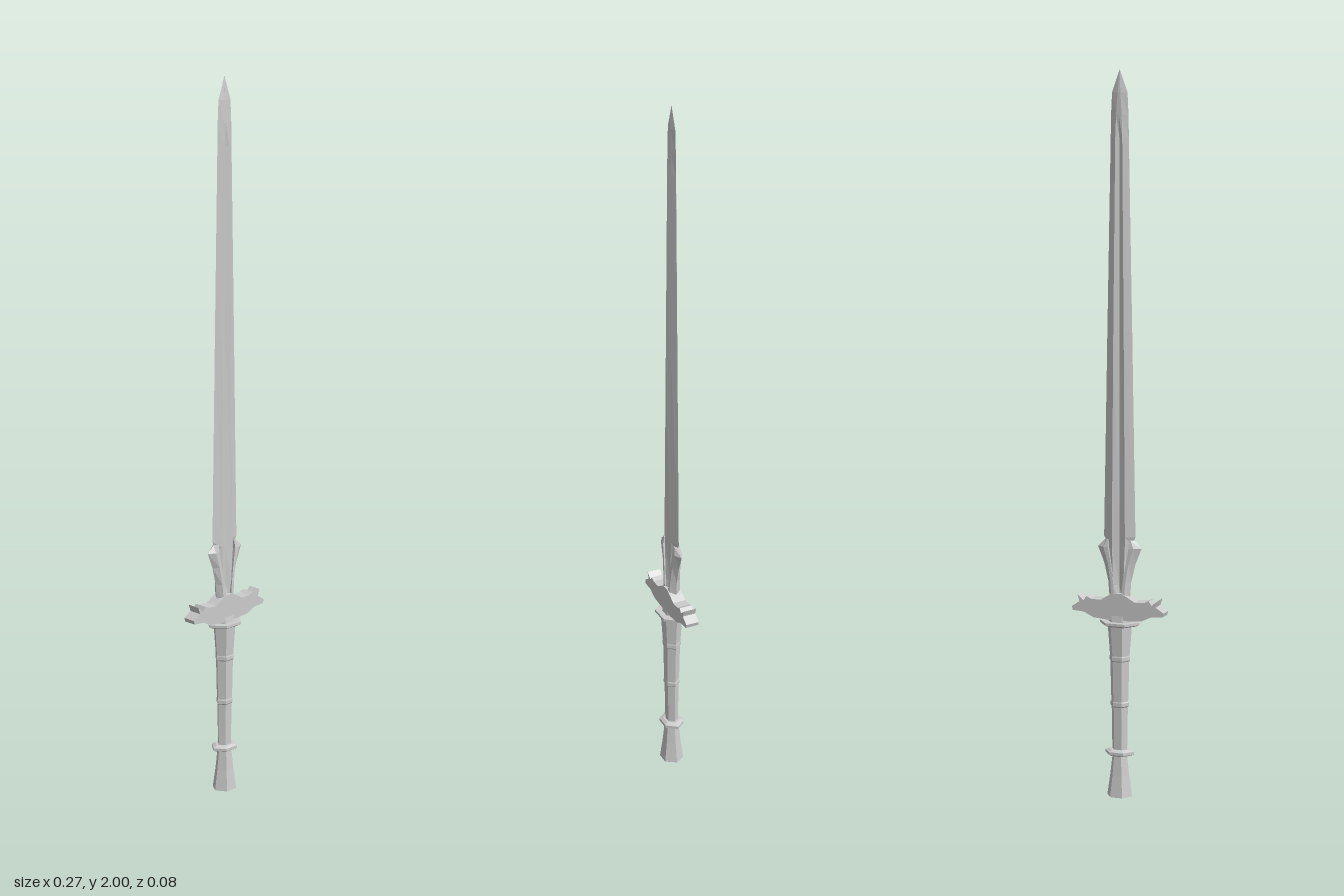
import * as THREE from 'three';

const steel = new THREE.MeshStandardMaterial({ color: 0xcccccc, flatShading: true, side: THREE.DoubleSide });

// Skin a stack of equal-length rings ([x, z] points at height y) and cap both ends.
function loft(name, sections) {
  const pos = [];
  const n = sections[0].ring.length;
  const at = (s, i) => [s.ring[i % n][0], s.y, s.ring[i % n][1]];
  for (let k = 0; k < sections.length - 1; k++) {
    const a = sections[k], b = sections[k + 1];
    for (let i = 0; i < n; i++) {
      pos.push(...at(a, i), ...at(b, i), ...at(b, i + 1));
      pos.push(...at(a, i), ...at(b, i + 1), ...at(a, i + 1));
    }
  }
  const cap = (s, up) => {
    const cx = s.ring.reduce((t, p) => t + p[0], 0) / n;
    for (let i = 0; i < n; i++) {
      const p = at(s, i), q = at(s, i + 1);
      pos.push(cx, s.y, 0, ...(up ? q : p), ...(up ? p : q));
    }
  };
  cap(sections[0], false);
  cap(sections[sections.length - 1], true);
  const geo = new THREE.BufferGeometry();
  geo.setAttribute('position', new THREE.Float32BufferAttribute(pos, 3));
  geo.computeVertexNormals();
  const mesh = new THREE.Mesh(geo, steel);
  mesh.name = name;
  return mesh;
}

// Six-sided section: half width w, half depth d.
const hex = (y, w, d) => ({
  y, ring: [[w, 0], [w * 0.48, d], [-w * 0.48, d], [-w, 0], [-w * 0.48, -d], [w * 0.48, -d]],
});

// Blade section: sharp edges, shoulders at +-f, and a central fuller of half depth g.
const bladeSection = (y, w, f, t, g) => ({
  y, ring: [[w, 0], [f, t], [0, g], [-f, t], [-w, 0], [-f, -t], [0, -g], [f, -t]],
});

// Wing section running from an inner face to a pointed outer edge.
const wingSection = (y, inner, mid, outer, d, side) => {
  const ring = [[inner, d], [inner, -d], [mid, -d], [outer, 0], [mid, d]].map(([x, z]) => [x * side, z]);
  if (side > 0) ring.reverse();
  // keep one winding direction on both sides
  return { y, ring: ring.reverse() };
};

export function createModel() {
  const sword = new THREE.Group();
  sword.name = 'sword';

  // Pommel and its ring
  sword.add(loft('pommel', [hex(0, 0.037, 0.029), hex(0.06, 0.028, 0.022), hex(0.12, 0.021, 0.017)]));
  sword.add(loft('pommelRing', [
    hex(0.116, 0.03, 0.021), hex(0.121, 0.043, 0.029), hex(0.129, 0.043, 0.029), hex(0.134, 0.03, 0.021),
  ]));

  // Grip widening in steps towards the guard
  sword.add(loft('grip', [
    hex(0.13, 0.022, 0.015), hex(0.255, 0.024, 0.017), hex(0.258, 0.027, 0.019), hex(0.268, 0.027, 0.019),
    hex(0.271, 0.025, 0.018), hex(0.385, 0.028, 0.02), hex(0.388, 0.03, 0.022), hex(0.398, 0.03, 0.022),
    hex(0.401, 0.029, 0.021), hex(0.49, 0.036, 0.026),
  ]));

  // Collar plate under the guard
  sword.add(loft('collar', [hex(0.485, 0.045, 0.03), hex(0.49, 0.058, 0.038), hex(0.497, 0.058, 0.038)]));
  sword.add(loft('collarNeck', [hex(0.495, 0.034, 0.022), hex(0.515, 0.034, 0.019)]));

  // Guard with notched, upswept ends
  const half = [
    [0.012, 0.578], [0.032, 0.568], [0.05, 0.557], [0.078, 0.558], [0.092, 0.564], [0.1, 0.552],
    [0.118, 0.567], [0.112, 0.548], [0.135, 0.533], [0.132, 0.522], [0.1, 0.52], [0.07, 0.506], [0.03, 0.503],
  ];
  const outline = [...half, ...half.map(([x, y]) => [-x, y]).reverse()];
  const guardGeo = new THREE.ExtrudeGeometry(
    new THREE.Shape(outline.map(([x, y]) => new THREE.Vector2(x, y))),
    { depth: 0.038, bevelEnabled: false },
  );
  guardGeo.translate(0, 0, -0.019);
  const guard = new THREE.Mesh(guardGeo, steel);
  guard.name = 'guard';
  sword.add(guard);

  // Flaring wings at the blade root
  for (const side of [-1, 1]) {
    sword.add(loft(side > 0 ? 'leftWing' : 'rightWing', [
      wingSection(0.55, 0.008, 0.018, 0.029, 0.017, side),
      wingSection(0.61, 0.014, 0.022, 0.034, 0.015, side),
      wingSection(0.66, 0.022, 0.03, 0.046, 0.013, side),
      wingSection(0.705, 0.03, 0.044, 0.064, 0.012, side),
      wingSection(0.726, 0.03, 0.035, 0.042, 0.008, side),
    ]));
  }

  // Blade with a fuller on both faces
  sword.add(loft('blade', [
    bladeSection(0.55, 0.026, 0.013, 0.012, 0.012),
    bladeSection(0.6, 0.028, 0.015, 0.012, 0.004),
    bladeSection(0.715, 0.036, 0.019, 0.011, 0.004),
    bladeSection(0.735, 0.046, 0.019, 0.011, 0.004),
    bladeSection(1.3, 0.036, 0.015, 0.01, 0.003),
    bladeSection(1.82, 0.026, 0.01, 0.008, 0.003),
    bladeSection(1.88, 0.025, 0.008, 0.007, 0.007),
    bladeSection(1.94, 0.022, 0.004, 0.006, 0.006),
    bladeSection(2, 0.0005, 0.0002, 0.0005, 0.0005),
  ]));

  return sword;
}
